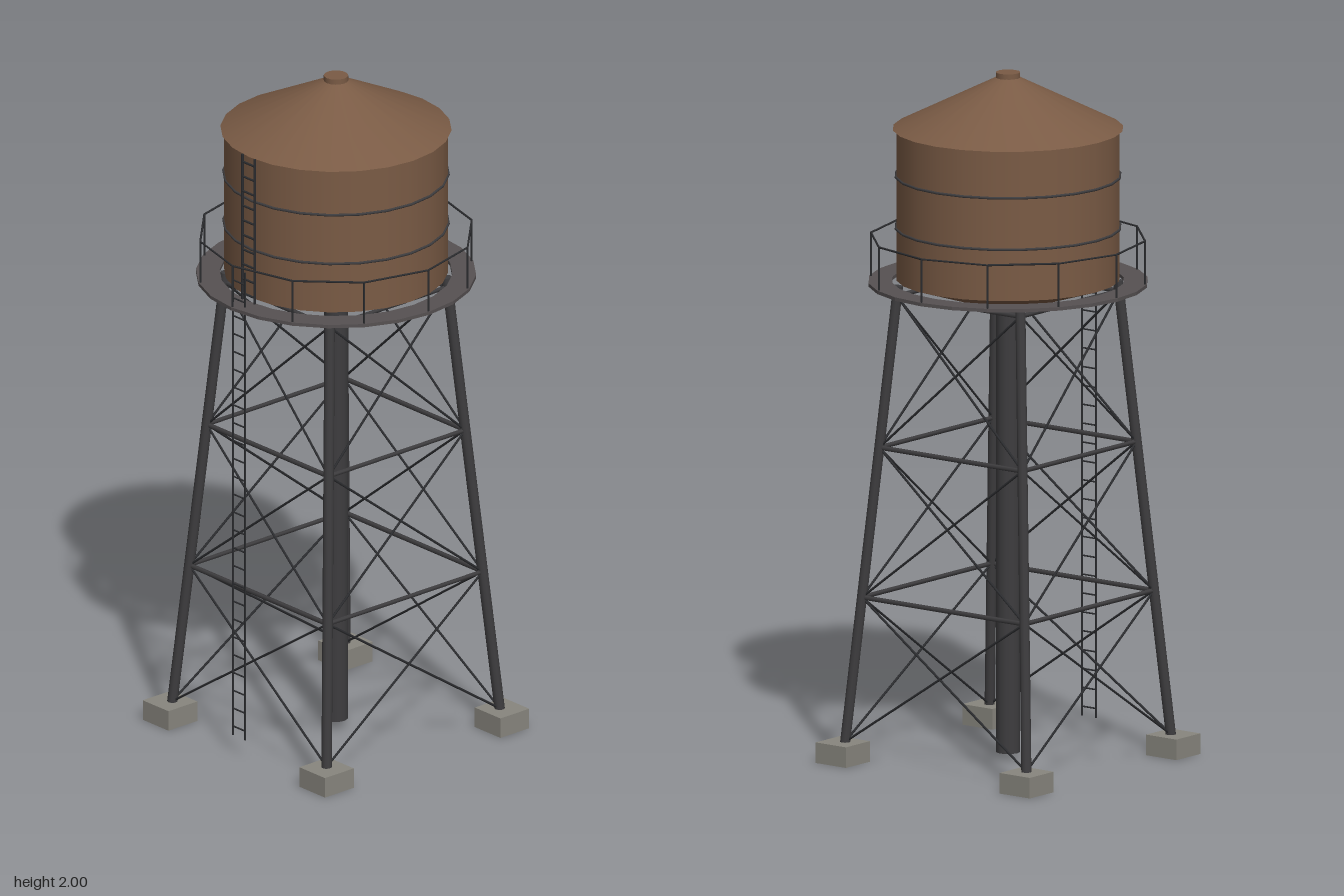
import * as THREE from 'three';

const mat = (name, color, extra = {}) => Object.assign(new THREE.MeshStandardMaterial({ color, ...extra }), { name });

export function createModel() {
  const model = new THREE.Group();
  model.name = 'waterTower';
  const brown = mat('tank brown', 0x7a5b45);
  const steel = mat('dark steel', 0x3e3d3f);
  const deck = mat('deck grey', 0x565152);
  const iron = mat('rail iron', 0x2c2d30);
  const concrete = mat('concrete', 0x88867e);

  const add = (parent, name, geometry, material, x = 0, y = 0, z = 0) => {
    const m = new THREE.Mesh(geometry, material);
    m.name = name;
    m.position.set(x, y, z);
    parent.add(m);
    return m;
  };
  const group = (name) => {
    const g = new THREE.Group();
    g.name = name;
    model.add(g);
    return g;
  };
  // round bar between two points
  const bar = (parent, name, a, b, r, material, sides = 6) => {
    const dir = b.clone().sub(a);
    const m = add(parent, name, new THREE.CylinderGeometry(r, r, dir.length(), sides), material);
    m.position.copy(a).add(b).multiplyScalar(0.5);
    m.quaternion.setFromUnitVectors(new THREE.Vector3(0, 1, 0), dir.normalize());
    return m;
  };
  const V = (x, y, z) => new THREE.Vector3(x, y, z);

  // tank: wall, conical bottom, conical roof and vent
  const tank = group('tank');
  add(tank, 'tankWall', new THREE.CylinderGeometry(0.32, 0.32, 0.44, 24, 1, true), brown, 0, 1.62, 0);
  add(tank, 'tankBottom', new THREE.CylinderGeometry(0.32, 0.001, 0.1, 24), brown, 0, 1.35, 0);
  add(tank, 'roof', new THREE.CylinderGeometry(0.03, 0.33, 0.15, 24), brown, 0, 1.912, 0);
  add(tank, 'roofVent', new THREE.CylinderGeometry(0.035, 0.035, 0.02, 16), brown, 0, 1.99, 0);
  for (const y of [1.55, 1.7]) {
    const band = add(tank, 'tankBand', new THREE.TorusGeometry(0.321, 0.004, 6, 24), steel, 0, y, 0);
    band.rotation.x = Math.PI / 2;
  }

  // riser pipe
  add(model, 'riserPipe', new THREE.CylinderGeometry(0.035, 0.035, 1.3, 12), steel, 0, 0.67, 0);

  // walkway ring around the tank
  const ring = new THREE.Shape();
  const hole = new THREE.Path();
  for (let i = 0; i < 24; i++) {
    const a = (i / 24) * Math.PI * 2, c = Math.cos(a), s = Math.sin(a);
    ring[i ? 'lineTo' : 'moveTo'](0.4 * c, 0.4 * s);
    hole[i ? 'lineTo' : 'moveTo'](0.332 * c, 0.332 * s);
  }
  ring.holes.push(hole);
  const walkway = add(model, 'walkway',
    new THREE.ExtrudeGeometry(ring, { depth: 0.01, bevelEnabled: false }), deck, 0, 1.384, 0);
  walkway.rotation.x = -Math.PI / 2;

  // guard rail: twelve posts and a top rail
  const guard = group('guardRail');
  const post = (i, y) => V(0.395 * Math.sin(i * Math.PI / 6), y, 0.395 * Math.cos(i * Math.PI / 6));
  for (let i = 0; i < 12; i++) {
    bar(guard, 'railPost', post(i, 1.39), post(i, 1.52), 0.003, iron);
    bar(guard, 'topRail', post(i, 1.52), post(i + 1, 1.52), 0.003, iron);
  }

  // four leaning legs on footings, with bracing on each side
  const frame = group('legFrame');
  const corner = (i, y) => {
    const h = 0.335 - 0.081 * y;
    return V(h * [1, 1, -1, -1][i % 4], y, h * [1, -1, -1, 1][i % 4]);
  };
  const levels = [0.06, 0.48, 0.915, 1.355];
  for (let i = 0; i < 4; i++) {
    const foot = corner(i, 0);
    add(frame, 'footing', new THREE.BoxGeometry(0.11, 0.06, 0.11), concrete, foot.x, 0.03, foot.z);
    bar(frame, 'leg', corner(i, 0.05), corner(i, 1.385), 0.015, steel, 10);
    for (let k = 0; k < 3; k++) {
      const lo = levels[k], hi = levels[k + 1];
      bar(frame, 'girt', corner(i, hi), corner(i + 1, hi), 0.007, steel);
      bar(frame, 'crossBrace', corner(i, lo), corner(i + 1, hi), 0.0035, iron);
      bar(frame, 'crossBrace', corner(i + 1, lo), corner(i, hi), 0.0035, iron);
    }
  }

  // ladders: ground to walkway, and walkway to roof
  const ladder = (name, z, y0, y1, step, r) => {
    const g = group(name);
    for (const x of [-0.026, 0.026]) bar(g, 'ladderRail', V(x, y0, z), V(x, y1, z), r, iron);
    for (let y = y0 + step / 2; y < y1; y += step) {
      bar(g, 'ladderRung', V(-0.026, y, z), V(0.026, y, z), r * 0.8, iron);
    }
  };
  ladder('lowerLadder', 0.37, 0.06, 1.5, 0.055, 0.003);
  ladder('upperLadder', 0.334, 1.39, 1.84, 0.045, 0.004);

  return model;
}
